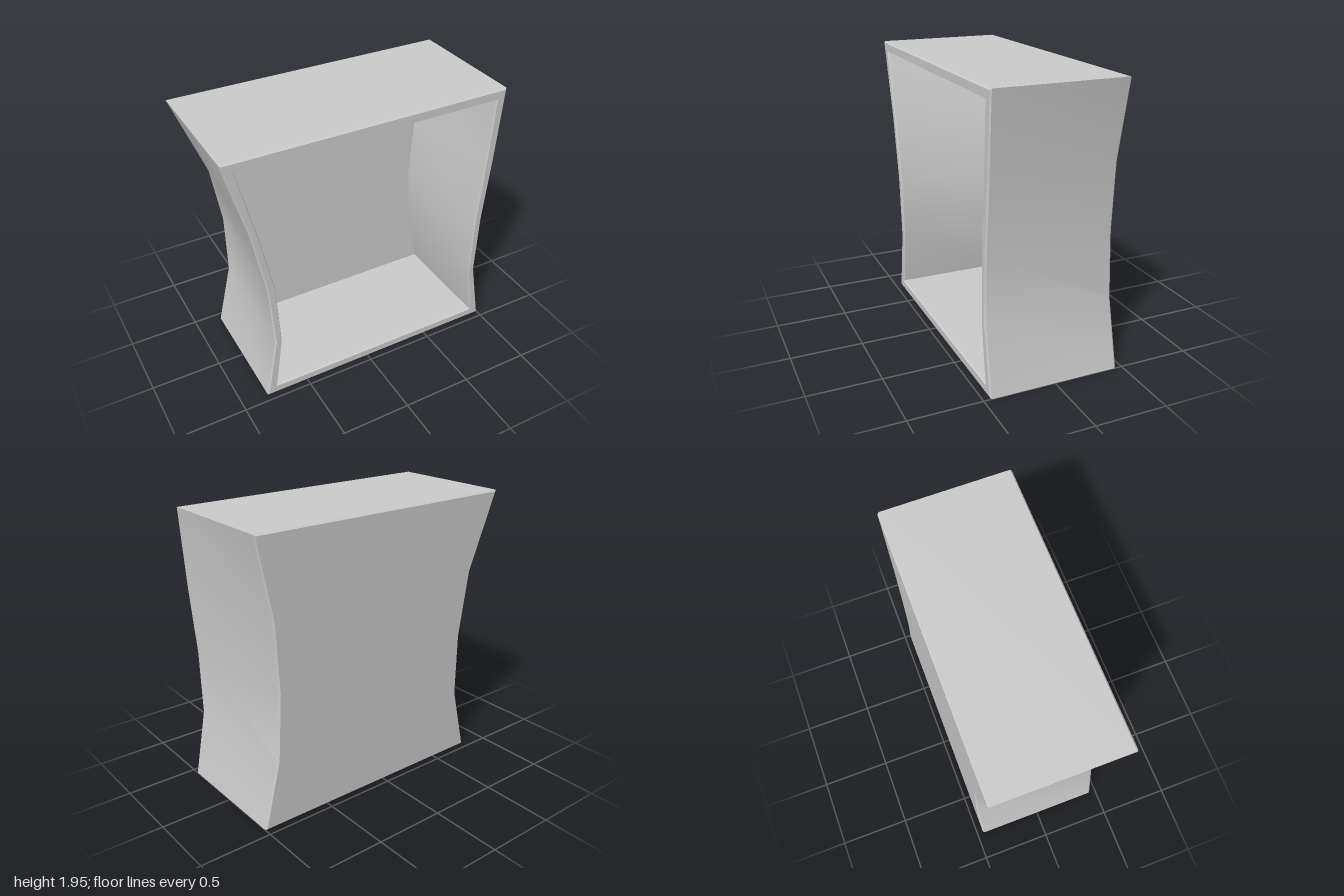
import * as THREE from 'three';
import { toCreasedNormals } from 'three/addons/utils/BufferGeometryUtils.js';

// Side profiles, five rows from top to bottom
const FRONT = {
  y: [1.95, 1.4, 0.93, 0.47, 0],
  left: [-1, -0.85, -0.76, -0.73, -0.81],
  right: [1, 0.965, 0.925, 0.915, 1],
};
const BACK = {
  y: FRONT.y,
  left: [-1, -0.78, -0.705, -0.7, -0.81],
  right: [1, 0.89, 0.865, 0.89, 1],
};
const INNER_FRONT = {
  y: [1.88, 1.4, 0.93, 0.47, 0.065],
  left: [-0.915, -0.8, -0.705, -0.68, -0.735],
  right: [0.93, 0.905, 0.87, 0.865, 0.92],
};
const INNER_BACK = {
  y: [1.88, 1.4, 0.93, 0.47, 0.065],
  left: [-0.89, -0.72, -0.64, -0.65, -0.73],
  right: [0.915, 0.835, 0.805, 0.835, 0.92],
};

// Closed ring at depth z: down one side, up the other, pulled inward by inset
function ring(profile, z, inset = 0) {
  const last = profile.y.length - 1;
  const rowY = (i) => profile.y[i] + (i === 0 ? -inset : i === last ? inset : 0);
  const down = profile.left.map((x, i) => [x + inset, rowY(i), z]);
  const up = profile.right.map((x, i) => [x - inset, rowY(i), z]).reverse();
  return [...down, ...up];
}

function quadMesh(name, quads, material) {
  const positions = quads.flatMap(([a, b, c, d]) => [a, b, c, a, c, d].flat());
  const geometry = new THREE.BufferGeometry();
  geometry.setAttribute('position', new THREE.Float32BufferAttribute(positions, 3));
  const mesh = new THREE.Mesh(toCreasedNormals(geometry, 0.6), material);
  mesh.name = name;
  return mesh;
}

// Walls joining successive rings
function loft(rings) {
  const quads = [];
  for (let k = 0; k < rings.length - 1; k++) {
    const n = rings[k].length;
    for (let i = 0; i < n; i++) {
      const j = (i + 1) % n;
      quads.push([rings[k][i], rings[k][j], rings[k + 1][j], rings[k + 1][i]]);
    }
  }
  return quads;
}

// Flat panel filling a ring row by row
function panel(r, facingBack) {
  const quads = [];
  for (let i = 0; i < r.length / 2 - 1; i++) {
    const q = [r[i], r[i + 1], r[r.length - 2 - i], r[r.length - 1 - i]];
    quads.push(facingBack ? q.reverse() : q);
  }
  return quads;
}

export function createModel() {
  const group = new THREE.Group();
  group.name = 'openCabinet';
  const material = new THREE.MeshStandardMaterial({ color: 0xcccccc });

  const depth = 0.455;
  const bevel = 0.01;
  const outerBack = ring(BACK, -depth, bevel);
  const innerBack = ring(INNER_BACK, -0.33);

  // Outer walls with softened edges
  group.add(quadMesh('outerWalls', loft([
    outerBack,
    ring(BACK, -depth + bevel),
    ring(FRONT, depth - bevel),
    ring(FRONT, depth, bevel),
  ]), material));

  // Front rim and recessed inner walls
  group.add(quadMesh('frontRim', loft([
    ring(FRONT, depth, bevel),
    ring(INNER_FRONT, depth, -bevel / 2),
    ring(INNER_FRONT, depth - bevel),
  ]), material));
  group.add(quadMesh('innerWalls', loft([
    ring(INNER_FRONT, depth - bevel),
    innerBack,
  ]), material));

  // Back of the cabinet, inside and outside
  group.add(quadMesh('innerBackPanel', panel(innerBack, false), material));
  group.add(quadMesh('outerBackPanel', panel(outerBack, true), material));

  return group;
}
